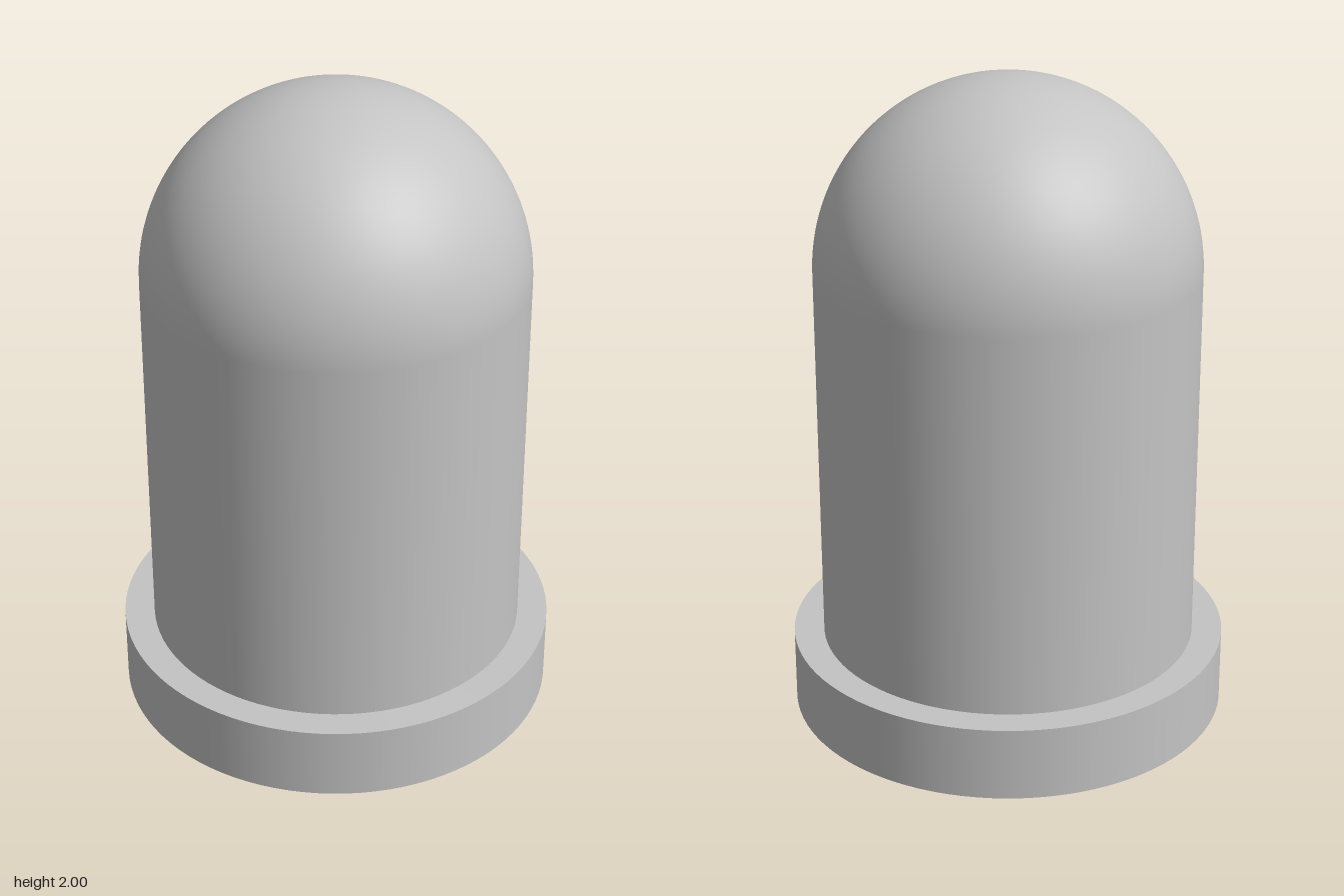
import * as THREE from 'three';

export function createModel() {
  const model = new THREE.Group();
  const grey = new THREE.MeshStandardMaterial({ color: 0xc4c4c4 });
  grey.name = 'light grey';

  const radius = 0.58, flangeRadius = 0.673, flangeHeight = 0.23, shoulder = 2 - radius;

  const add = (name, geometry, y) => {
    const mesh = new THREE.Mesh(geometry, grey);
    mesh.name = name;
    mesh.position.y = y;
    model.add(mesh);
  };

  // Wide round base
  add('baseFlange', new THREE.CylinderGeometry(flangeRadius, flangeRadius, flangeHeight, 96), flangeHeight / 2);

  // Straight barrel standing on the base
  const barrelHeight = shoulder - flangeHeight;
  add('barrel', new THREE.CylinderGeometry(radius, radius, barrelHeight, 96, 1, true), flangeHeight + barrelHeight / 2);

  // Hemispherical cap
  add('dome', new THREE.SphereGeometry(radius, 96, 32, 0, Math.PI * 2, 0, Math.PI / 2), shoulder);

  return model;
}
